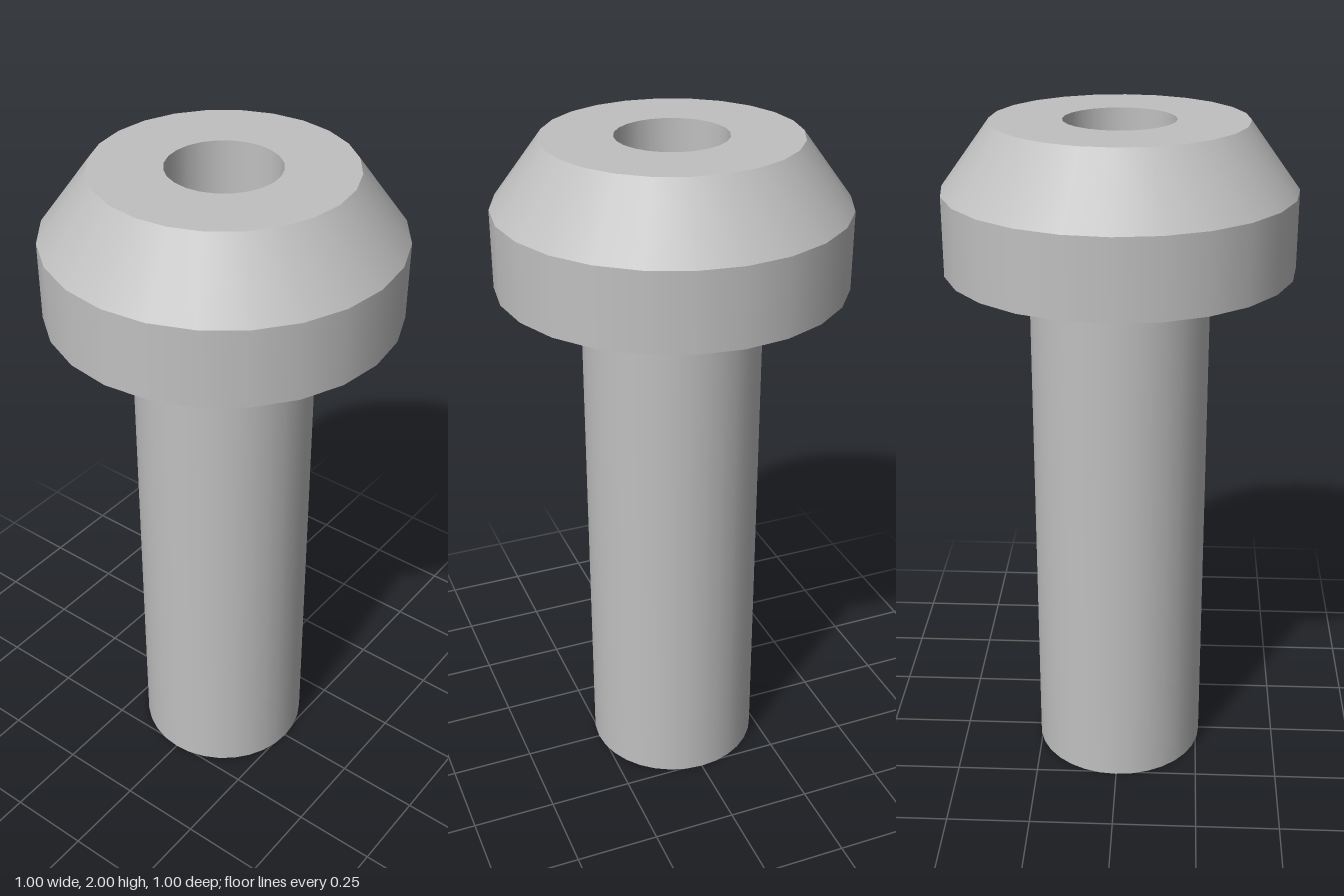
import * as THREE from 'three';

export function createModel() {
  const model = new THREE.Group();
  const steel = new THREE.MeshStandardMaterial({ color: 0xc0c0c0 });
  steel.name = 'steel grey';

  // One lathed band per profile segment: smooth around, crisp between bands.
  // Profiles run from bottom centre, outwards and up.
  function turned(name, profile, sides) {
    const part = new THREE.Group();
    part.name = name;
    for (let i = 0; i < profile.length - 1; i++) {
      const ends = [profile[i], profile[i + 1]].map(([r, y]) => new THREE.Vector2(r, y));
      const band = new THREE.Mesh(new THREE.LatheGeometry(ends, sides), steel);
      band.name = `${name}Band${i + 1}`;
      part.add(band);
    }
    model.add(part);
  }

  // Plain round shank, closed at the bottom
  turned('shank', [[0, 0], [0.26, 0], [0.26, 1.585]], 32);

  // Head: underside, rim, chamfer, flat top, then the blind round socket
  turned('head', [
    [0, 1.585], [0.5, 1.585], [0.5, 1.81], [0.36, 2],
    [0.158, 2], [0.158, 1.75], [0, 1.75],
  ], 24);

  return model;
}
